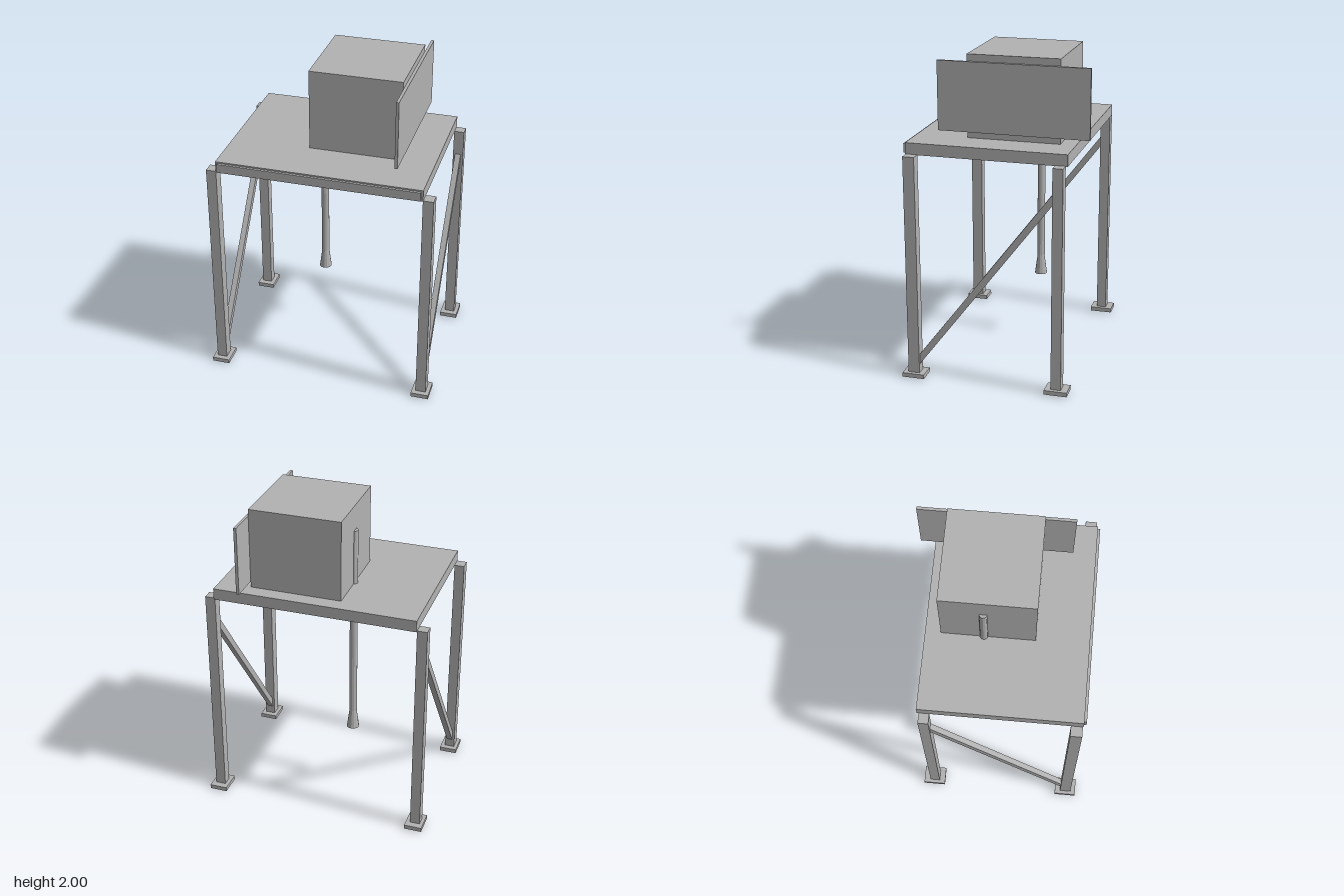
import * as THREE from 'three';

export function createModel() {
  const model = new THREE.Group();
  model.name = 'machineStand';
  const grey = new THREE.MeshStandardMaterial({ color: 0xb2b2b2 });
  grey.name = 'plain grey';

  const add = (name, geometry) => {
    const mesh = new THREE.Mesh(geometry, grey);
    mesh.name = name;
    model.add(mesh);
    return mesh;
  };
  // Box given by its limits on each axis
  const box = (name, [x0, x1], [y0, y1], [z0, z1]) =>
    add(name, new THREE.BoxGeometry(x1 - x0, y1 - y0, z1 - z0))
      .position.set((x0 + x1) / 2, (y0 + y1) / 2, (z0 + z1) / 2);
  // Faceted round part, from bottom radius to top radius
  const tube = (name, rTop, rBottom, y0, y1) => {
    const g = new THREE.CylinderGeometry(rTop, rBottom, y1 - y0, 12).toNonIndexed();
    g.computeVertexNormals();
    add(name, g).position.set(-0.144, (y0 + y1) / 2, -0.111);
  };

  // Table top with a thin front trim
  box('tableTop', [-0.637, 0.632], [1.42, 1.492], [-0.465, 0.522]);
  box('frontTrim', [-0.624, 0.621], [1.427, 1.483], [0.522, 0.537]);

  // Legs and foot plates
  const sides = [
    { side: 'right', leg: [-0.7, -0.637], foot: [-0.722, -0.611], brace: -0.685 },
    { side: 'left', leg: [0.63, 0.694], foot: [0.606, 0.718], brace: 0.643 },
  ];
  const ends = [
    { end: 'Front', leg: [0.447, 0.518], foot: [0.411, 0.55] },
    { end: 'Back', leg: [-0.453, -0.39], foot: [-0.495, -0.353] },
  ];
  for (const s of sides) {
    for (const e of ends) {
      box(`${s.side}${e.end}Leg`, s.leg, [0, 1.423], e.leg);
      box(`${s.side}${e.end}Foot`, s.foot, [0.008, 0.035], e.foot);
    }
    // Diagonal brace: a sloping bar cut upright where it meets the legs
    const profile = new THREE.Shape([[-0.447, 0.09], [0.39, 1.196], [0.39, 1.263], [-0.447, 0.156]]
      .map(([a, b]) => new THREE.Vector2(a, b)));
    const g = new THREE.ExtrudeGeometry(profile, { depth: 0.036, bevelEnabled: false });
    g.rotateY(Math.PI / 2);
    add(`${s.side}Brace`, g).position.x = s.brace;
  }

  // Cabinet and the panel on its left side
  box('cabinet', [-0.148, 0.426], [1.492, 2], [-0.37, 0.2]);
  box('sidePanel', [0.426, 0.444], [1.53, 1.957], [-0.552, 0.381]);

  // Hanging pipe with a flared nozzle
  tube('pipe', 0.025, 0.025, 0.574, 1.842);
  tube('nozzle', 0.023, 0.04, 0.447, 0.574);

  return model;
}
